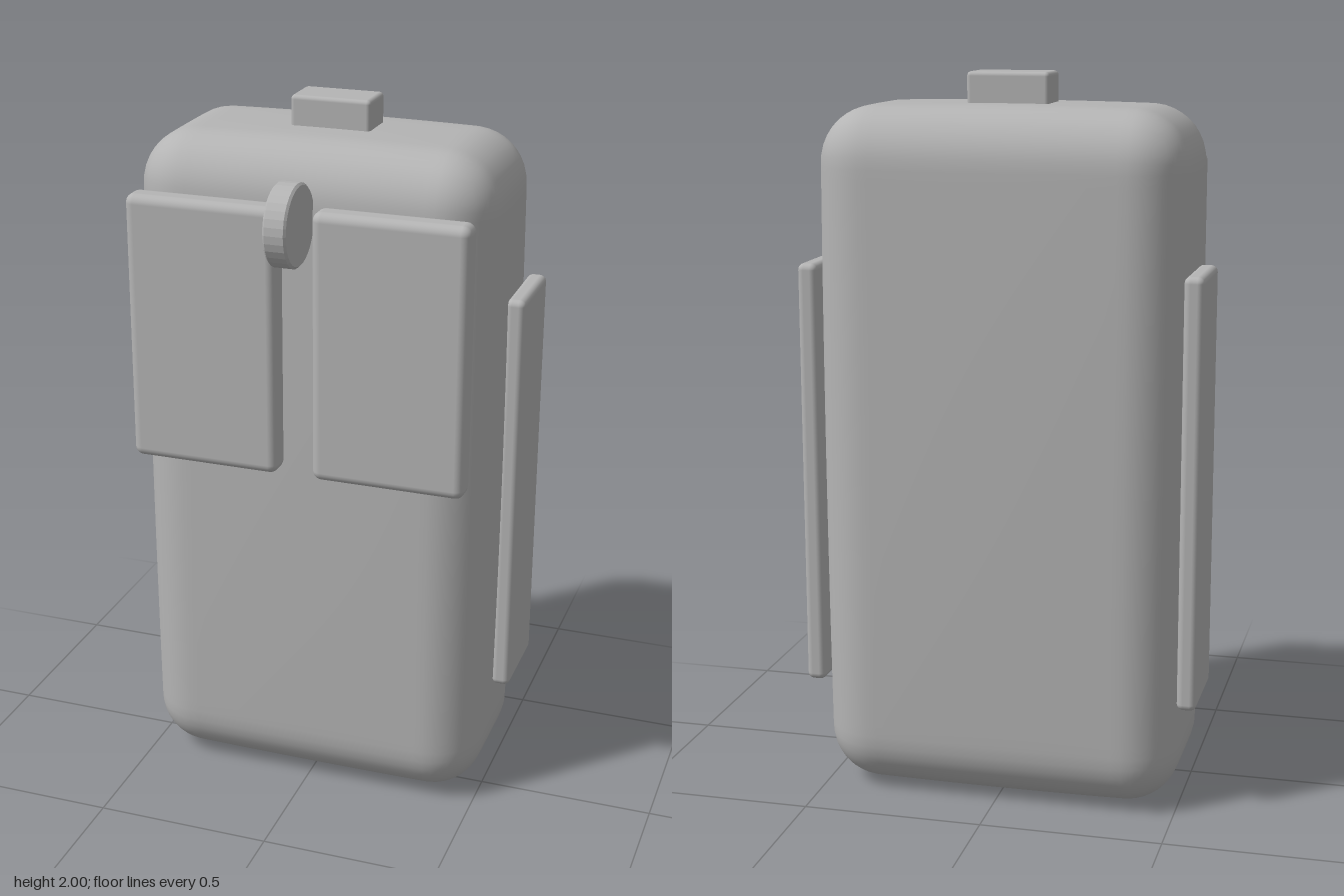
import * as THREE from 'three';
import { mergeVertices } from 'three/addons/utils/BufferGeometryUtils.js';
import { RoundedBoxGeometry } from 'three/addons/geometries/RoundedBoxGeometry.js';

// Rounded box whose faces swell gently towards their middles
function softBox(w, h, d, r, swell) {
  let geo = new THREE.BoxGeometry(w, h, d, 36, 60, 24);
  geo.deleteAttribute('uv');
  geo.deleteAttribute('normal');
  geo = mergeVertices(geo);
  const half = new THREE.Vector3(w / 2, h / 2, d / 2);
  const inner = half.clone().subScalar(r);
  const low = inner.clone().negate();
  const pos = geo.attributes.position;
  const p = new THREE.Vector3(), core = new THREE.Vector3();
  for (let i = 0; i < pos.count; i++) {
    p.fromBufferAttribute(pos, i);
    core.copy(p).clamp(low, inner);
    p.sub(core).setLength(r).add(core);
    const fx = 1 - (p.x / half.x) ** 2;
    const fy = 1 - (p.y / half.y) ** 2;
    const fz = 1 - (p.z / half.z) ** 2;
    pos.setXYZ(i,
      p.x + swell * fy * fz * p.x / half.x,
      p.y + swell * fx * fz * p.y / half.y,
      p.z + swell * fx * fy * p.z / half.z);
  }
  geo.computeVertexNormals();
  return geo;
}

export function createModel() {
  const model = new THREE.Group();
  const grey = new THREE.MeshStandardMaterial({ color: 0xb4b4b4 });
  grey.name = 'grey';

  const add = (name, geo, x, y, z) => {
    const mesh = new THREE.Mesh(geo, grey);
    mesh.name = name;
    mesh.position.set(x, y, z);
    model.add(mesh);
    return mesh;
  };

  // Main body
  add('body', softBox(1.0, 1.895, 0.535, 0.145, 0.011), 0, 0.96, -0.1);

  // Small block on the top
  add('topBlock', new RoundedBoxGeometry(0.226, 0.13, 0.126, 2, 0.012), 0, 1.935, -0.118);

  // Front plates and side panels, mirrored
  for (const [side, s] of [['left', 1], ['right', -1]]) {
    add(side + 'FrontPlate', new RoundedBoxGeometry(0.428, 0.755, 0.08, 3, 0.026), s * 0.264, 1.393, 0.204);
    add(side + 'SidePanel', new RoundedBoxGeometry(0.054, 1.185, 0.26, 3, 0.018), s * 0.528, 0.897, -0.185);
  }

  // Upright disc between the front plates, with bevelled rims
  const profile = [[0, -0.032], [0.106, -0.032], [0.112, -0.026], [0.112, 0.026], [0.106, 0.032], [0, 0.032]]
    .map(([r, y]) => new THREE.Vector2(r, y));
  const discGeo = new THREE.LatheGeometry(profile, 32).toNonIndexed();
  discGeo.computeVertexNormals();
  add('disc', discGeo, 0, 1.74, 0.266).rotation.z = Math.PI / 2;

  return model;
}
